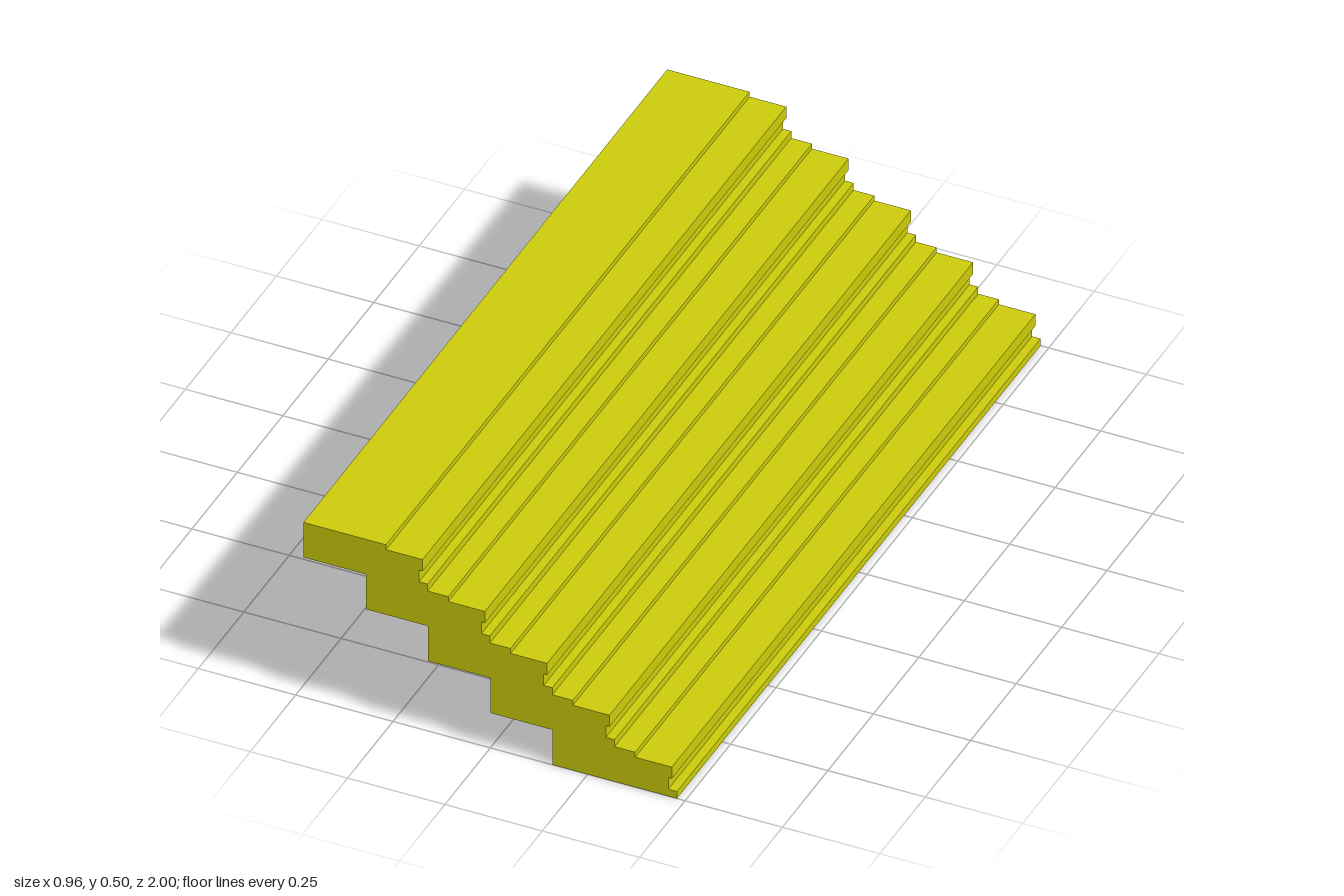
import * as THREE from 'three';

const STEPS = 5, RUN = 0.16, RISE = 0.1, LENGTH = 2;

// Grooved nosing of one step, from its toe up to the tread (x, y from the step's back lower corner)
const NOSING = [
  [0.319, 0], [0.319, 0.02], [0.297, 0.02], [0.297, 0.053],
  [0.306, 0.053], [0.306, 0.086], [0.212, 0.086], [0.212, 0.1],
];

// Outline of the whole flight: up along the nosings, down along the stepped underside
function flightShape() {
  const points = [];
  const add = (i, x, y) => points.push(new THREE.Vector2(0.16 - i * RUN + x, i * RISE + y));
  for (let i = 0; i < STEPS; i++) NOSING.forEach(([x, y]) => add(i, x, y));
  for (let i = STEPS - 1; i >= 0; i--) {
    add(i, 0, RISE);
    add(i, 0, 0);
  }
  return new THREE.Shape(points);
}

export function createModel() {
  const group = new THREE.Group();
  group.name = 'stairs';
  const geometry = new THREE.ExtrudeGeometry(flightShape(), { depth: LENGTH, bevelEnabled: false });
  geometry.translate(0, 0, -LENGTH / 2);
  const flight = new THREE.Mesh(geometry, new THREE.MeshStandardMaterial({ color: 0xcccc0c }));
  flight.name = 'stairFlight';
  group.add(flight);
  return group;
}
